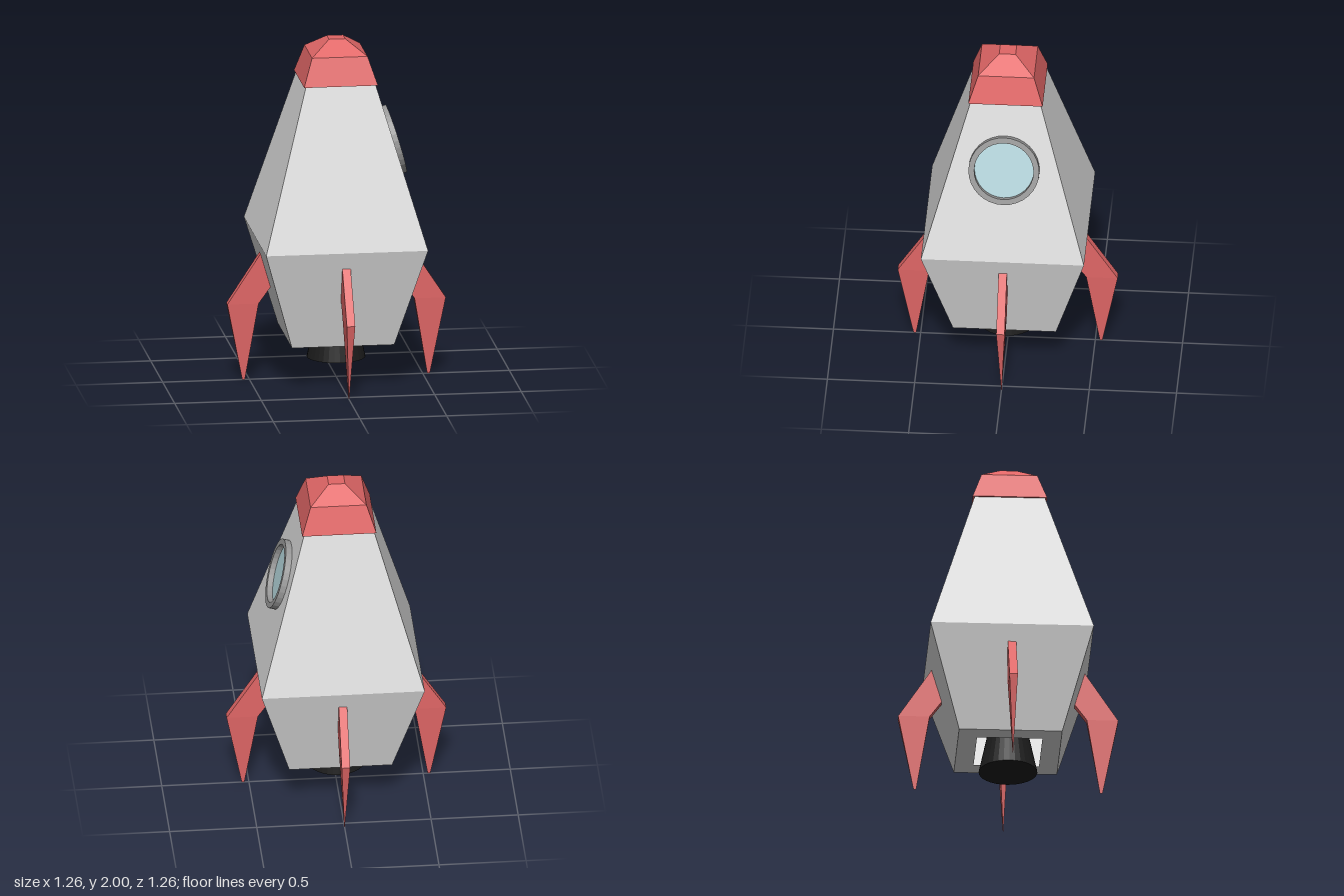
import * as THREE from 'three';

const mat = (name, color, extra = {}) =>
  new THREE.MeshStandardMaterial({ name, color, flatShading: true, ...extra });

// Revolved profile of [radius, y] points, listed from bottom to top
const revolve = (points, sides, start = 0) =>
  new THREE.LatheGeometry(points.map(([r, y]) => new THREE.Vector2(r, y)), sides, start);

// Square section: [half width, y] points turned into a four-sided solid
const squareTower = (points) =>
  revolve(points.map(([h, y]) => [h * Math.SQRT2, y]), 4, Math.PI / 4);

function finGeometry() {
  const halfThick = 0.024, kneeY = 0.45;
  const outline = [[0.37, 0.56], [0.45, 0.45], [0.526, 0], [0.541, 0], [0.63, 0.45], [0.437, 0.745]];
  const shape = new THREE.Shape(outline.map(([x, y]) => new THREE.Vector2(x, y)));
  const geo = new THREE.ExtrudeGeometry(shape, { depth: 2, bevelEnabled: false });
  geo.translate(0, 0, -1);
  // The blade thins to an edge below the knee
  const p = geo.attributes.position;
  for (let i = 0; i < p.count; i++) {
    const taper = Math.max(0.05, Math.min(1, p.getY(i) / kneeY));
    p.setZ(i, p.getZ(i) * halfThick * taper);
  }
  geo.computeVertexNormals();
  return geo;
}

export function createModel() {
  const hull = mat('hull grey', 0xdcdcdc, { side: THREE.DoubleSide });
  const red = mat('red', 0xe06666);
  const steel = mat('window frame grey', 0x999999);
  const glass = mat('pale blue glass', 0xb6d7dd);
  const black = mat('engine black', 0x1c1c1c);

  const model = new THREE.Group();
  model.name = 'rocket';
  const add = (parent, name, geometry, material) => {
    const mesh = new THREE.Mesh(geometry, material);
    mesh.name = name;
    parent.add(mesh);
    return mesh;
  };

  // Hull shell with a rim around the engine opening
  add(model, 'hull', squareTower([[0.187, 0.25], [0.295, 0.25], [0.467, 0.84], [0.2, 1.765]]), hull);

  // Nose cap
  add(model, 'noseCap', squareTower([[0, 1.76], [0.213, 1.76], [0.16, 1.92], [0.047, 2], [0, 2]]), red);

  // Engine nozzle
  add(model, 'nozzle', revolve([[0, 0.12], [0.168, 0.12], [0.11, 0.39], [0, 0.39]], 32), black);

  // Four fins
  const fin = finGeometry();
  for (let i = 0; i < 4; i++) {
    add(model, 'fin' + (i + 1), fin, red).rotation.y = (i * Math.PI) / 2;
  }

  // Round window lying on the sloped left side
  const porthole = new THREE.Group();
  porthole.name = 'window';
  add(porthole, 'windowFrame',
    revolve([[0.17, -0.005], [0.203, -0.005], [0.203, 0.037], [0.17, 0.037], [0.17, -0.005]], 32), steel);
  add(porthole, 'windowGlass', revolve([[0.172, 0.004], [0, 0.004]], 32), glass);
  porthole.position.set(0.311, 1.38, 0);
  porthole.rotation.z = Math.atan2(0.267, 0.92) - Math.PI / 2;
  model.add(porthole);

  return model;
}
